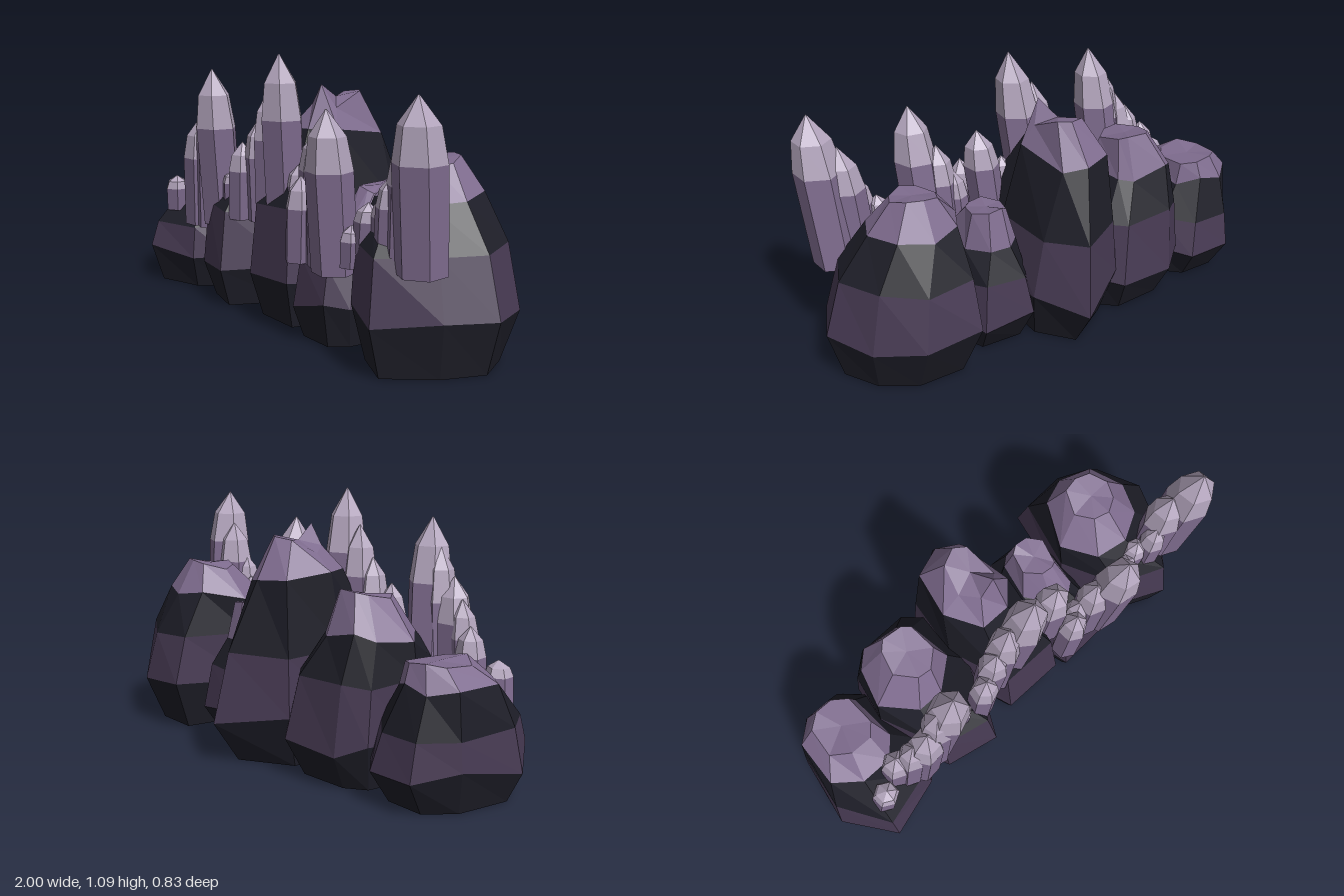
import * as THREE from 'three';

function paint(name, color) {
  const m = new THREE.MeshStandardMaterial({ color });
  m.name = name;
  return m;
}

// Faceted skin through a stack of rings (points run counter to the clock seen from below)
function loft(rings, capBottom, capTop) {
  const pos = [];
  const tri = (...pts) => pts.forEach((p) => pos.push(p.x, p.y, p.z));
  const n = rings[0].length;
  const middle = (ring) => ring.reduce((s, p) => s.add(p), new THREE.Vector3()).divideScalar(n);
  for (let i = 0; i + 1 < rings.length; i++) {
    for (let j = 0; j < n; j++) {
      const k = (j + 1) % n, lo = rings[i], hi = rings[i + 1];
      tri(lo[j], hi[j], hi[k]);
      tri(lo[j], hi[k], lo[k]);
    }
  }
  const first = rings[0], last = rings[rings.length - 1];
  const mb = middle(first), mt = middle(last);
  for (let j = 0; j < n; j++) {
    const k = (j + 1) % n;
    if (capBottom) tri(mb, first[j], first[k]);
    if (capTop) tri(mt, last[k], last[j]);
  }
  const g = new THREE.BufferGeometry();
  g.setAttribute('position', new THREE.Float32BufferAttribute(pos, 3));
  g.computeVertexNormals();
  return g;
}

export function createModel() {
  const model = new THREE.Group();
  const dark = paint('dark stone', 0x1e1e28);
  const plum = paint('plum stone', 0x473a53);
  const mauve = paint('mauve stone', 0x806d90);
  const pale = paint('pale crystal', 0xb4a6be);

  let seed = 7;
  const rand = () => {
    seed = (seed * 16807) % 2147483647;
    return seed / 2147483647 - 0.5;
  };
  const add = (group, name, geometry, material) => {
    const m = new THREE.Mesh(geometry, material);
    m.name = name;
    group.add(m);
  };

  // Boulder: widest outline [x, z], ring heights, shoulder and crown ellipses [cx, cz, rx, rz], crown heights
  function boulder(name, outline, ys, shoulder, crown, crownYs) {
    const n = outline.length;
    const cx = outline.reduce((s, p) => s + p[0], 0) / n;
    const cz = outline.reduce((s, p) => s + p[1], 0) / n;
    const ellipse = ([ex, ez, rx, rz], height) => outline.map(([x, z], i) => {
      const a = Math.atan2(z - cz, x - cx), s = 1 + rand() * 0.1;
      return new THREE.Vector3(ex + Math.cos(a) * rx * s, height(i), ez + Math.sin(a) * rz * s);
    });
    const base = outline.map(([x, z]) =>
      new THREE.Vector3(cx + (x - cx) * 0.8, 0, cz + (z - cz) * (z < cz ? 0.72 : 0.87)));
    const belly = outline.map(([x, z]) => new THREE.Vector3(x, ys[0] + rand() * 0.06, z));
    const top = ellipse(shoulder, () => ys[2] + rand() * 0.05);
    // the front stays steep, the other sides lean in
    const waist = belly.map((p, i) => {
      const q = p.clone().lerp(top[i], p.z > 0.25 ? 0.17 : 0.35);
      q.y = ys[1] + rand() * 0.04;
      return q;
    });
    const peak = ellipse(crown, (i) => crownYs[i]);
    const g = new THREE.Group();
    g.name = name;
    add(g, 'footBand', loft([base, belly], true, false), dark);
    add(g, 'lowerBand', loft([belly, waist], false, false), plum);
    add(g, 'upperBand', loft([waist, top], false, false), dark);
    add(g, 'cap', loft([top, peak], false, true), mauve);
    model.add(g);
  }

  boulder('farRightBoulder',
    [[-1, 0.2], [-0.95, -0.08], [-0.84, -0.23], [-0.64, -0.23], [-0.52, -0.1], [-0.5, 0.2], [-0.6, 0.33], [-0.85, 0.41]],
    [0.15, 0.28, 0.46], [-0.78, 0.03, 0.17, 0.19], [-0.76, -0.01, 0.12, 0.12],
    [0.53, 0.54, 0.55, 0.54, 0.53, 0.52, 0.53, 0.55]);
  boulder('rightBoulder',
    [[-0.62, 0.05], [-0.58, -0.18], [-0.48, -0.26], [-0.22, -0.28], [-0.14, -0.2], [-0.13, 0.1], [-0.27, 0.38], [-0.5, 0.33]],
    [0.17, 0.41, 0.59], [-0.42, -0.01, 0.18, 0.18], [-0.39, -0.01, 0.1, 0.11],
    [0.72, 0.74, 0.75, 0.75, 0.74, 0.71, 0.71, 0.72]);
  boulder('middleBoulder',
    [[-0.23, 0.05], [-0.2, -0.24], [0.06, -0.42], [0.2, -0.22], [0.2, 0.1], [0.14, 0.32], [-0.13, 0.32]],
    [0.2, 0.48, 0.76], [-0.05, -0.07, 0.16, 0.2], [-0.03, -0.05, 0.085, 0.11],
    [0.85, 0.91, 0.92, 0.92, 0.86, 0.955, 0.87]);
  boulder('leftBoulder',
    [[0.13, 0.1], [0.14, -0.1], [0.2, -0.22], [0.42, -0.21], [0.49, 0], [0.46, 0.25], [0.4, 0.33], [0.2, 0.33]],
    [0.15, 0.3, 0.45], [0.3, 0.01, 0.115, 0.16], [0.3, -0.02, 0.08, 0.09],
    [0.57, 0.58, 0.6, 0.59, 0.58, 0.56, 0.57, 0.58]);
  boulder('farLeftBoulder',
    [[0.42, 0.05], [0.49, -0.31], [0.73, -0.31], [0.9, -0.19], [1, 0.01], [0.92, 0.2], [0.75, 0.39], [0.53, 0.3]],
    [0.2, 0.43, 0.59], [0.61, 0, 0.2, 0.19], [0.61, -0.02, 0.1, 0.1],
    [0.7, 0.73, 0.74, 0.74, 0.72, 0.71, 0.72, 0.71]);

  // Six-sided leaning crystal: base centre, tip and shaft radius
  function crystal(group, [bx, by, bz, tx, ty, tz, r]) {
    const turn = rand() * 1.5;
    const ring = (t, s) => Array.from({ length: 6 }, (_, j) => {
      const a = turn + (j * Math.PI) / 3;
      return new THREE.Vector3(
        THREE.MathUtils.lerp(bx, tx, t) + Math.cos(a) * r * s,
        THREE.MathUtils.lerp(by, ty, t),
        THREE.MathUtils.lerp(bz, tz, t) + Math.sin(a) * r * s);
    });
    const neck = ring(0.63, 1);
    add(group, 'crystalShaft', loft([ring(0, 0.97), neck], true, false), mauve);
    add(group, 'crystalTip', loft([neck, ring(0.84, 0.78), ring(1, 0.03)], false, true), pale);
  }

  const clusters = {
    farRightCrystals: [
      [-0.48, 0.32, 0.24, -0.43, 1.0, 0.31, 0.09],
      [-0.53, 0.3, 0.27, -0.49, 0.9, 0.29, 0.07],
      [-0.6, 0.3, 0.28, -0.56, 0.78, 0.3, 0.075],
      [-0.66, 0.3, 0.27, -0.62, 0.7, 0.28, 0.06],
      [-0.71, 0.3, 0.24, -0.69, 0.61, 0.25, 0.06],
      [-0.81, 0.33, 0.29, -0.79, 0.49, 0.3, 0.055]],
    middleCrystals: [
      [-0.05, 0.38, 0.19, 0.01, 1.085, 0.26, 0.09],
      [-0.13, 0.38, 0.21, -0.09, 0.94, 0.24, 0.075],
      [-0.19, 0.38, 0.22, -0.16, 0.81, 0.25, 0.065],
      [-0.27, 0.38, 0.27, -0.24, 0.71, 0.28, 0.06],
      [-0.37, 0.43, 0.26, -0.35, 0.57, 0.27, 0.04],
      [0.06, 0.42, 0.21, 0.08, 0.65, 0.22, 0.045]],
    leftCrystals: [
      [0.41, 0.3, 0.285, 0.44, 0.915, 0.345, 0.09],
      [0.33, 0.3, 0.27, 0.35, 0.74, 0.29, 0.07],
      [0.27, 0.3, 0.26, 0.29, 0.62, 0.27, 0.055],
      [0.16, 0.38, 0.19, 0.2, 0.8, 0.21, 0.075],
      [0.2, 0.3, 0.3, 0.23, 0.64, 0.31, 0.06]],
    farLeftCrystals: [
      [0.84, 0.38, 0.235, 0.88, 1.0, 0.295, 0.098],
      [0.75, 0.38, 0.23, 0.79, 0.86, 0.25, 0.08],
      [0.69, 0.4, 0.26, 0.72, 0.71, 0.27, 0.055],
      [0.62, 0.42, 0.23, 0.65, 0.62, 0.24, 0.05],
      [0.55, 0.4, 0.25, 0.58, 0.59, 0.26, 0.05],
      [0.5, 0.34, 0.28, 0.52, 0.5, 0.29, 0.045]],
  };
  for (const [name, list] of Object.entries(clusters)) {
    const g = new THREE.Group();
    g.name = name;
    list.forEach((c) => crystal(g, c));
    model.add(g);
  }
  return model;
}
